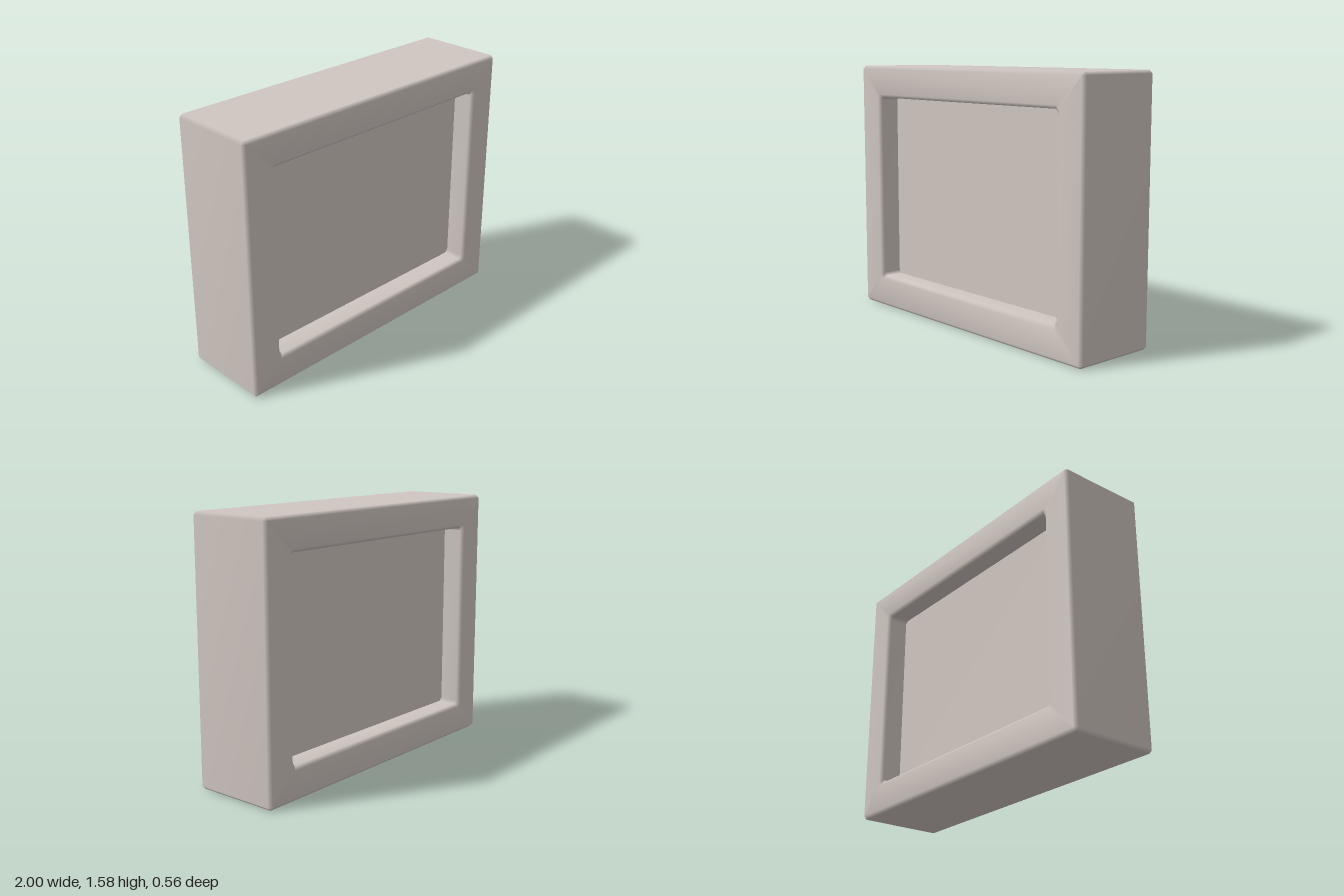
import * as THREE from 'three';

const HALF_W = 1, HALF_H = 0.7875, HALF_D = 0.2775;
const BORDER = 0.2;     // width of the frame border
const BEVEL = 0.02;
const PANEL_Z = 0.14;   // panels are recessed on both sides

// Rectangle with cut corners, counter-clockwise, inset from the outer size
function cutRect(inset, cut) {
  const w = HALF_W - inset, h = HALF_H - inset;
  return [
    [w, -h + cut], [w, h - cut], [w - cut, h], [-w + cut, h],
    [-w, h - cut], [-w, -h + cut], [-w + cut, -h], [w - cut, -h],
  ];
}

// Joins the rectangular cross-sections into one smooth-shaded band
function loft(sections) {
  const positions = [], index = [];
  for (const [inset, cut, z] of sections) {
    for (const [x, y] of cutRect(inset, cut)) positions.push(x, y, z);
  }
  for (let i = 0; i < sections.length - 1; i++) {
    for (let j = 0; j < 8; j++) {
      const a = i * 8 + j, b = i * 8 + (j + 1) % 8;
      index.push(a, a + 8, b + 8, a, b + 8, b);
    }
  }
  const geometry = new THREE.BufferGeometry();
  geometry.setAttribute('position', new THREE.Float32BufferAttribute(positions, 3));
  geometry.setIndex(index);
  geometry.computeVertexNormals();
  return geometry;
}

export function createModel() {
  const model = new THREE.Group();
  model.name = 'recessedBox';
  const stone = new THREE.MeshStandardMaterial({ color: 0xcfc6c0 });
  stone.name = 'warmGrey';

  // Bevelled frame: from the front recess, around the outside, to the back recess
  const front = [
    [BORDER, BEVEL, PANEL_Z],
    [BORDER, BEVEL, HALF_D - BEVEL],
    [BORDER - BEVEL, BEVEL, HALF_D],
    [BEVEL, 0, HALF_D],
    [0, BEVEL, HALF_D - BEVEL],
  ];
  const back = front.map(([inset, cut, z]) => [inset, cut, -z]).reverse();
  const frame = new THREE.Mesh(loft([...front, ...back]), stone);
  frame.name = 'frame';
  frame.position.y = HALF_H;
  model.add(frame);

  // Flat panels closing the two recesses
  const outline = cutRect(BORDER, BEVEL).map(([x, y]) => new THREE.Vector2(x, y));
  const panelGeometry = new THREE.ShapeGeometry(new THREE.Shape(outline));
  for (const side of [1, -1]) {
    const panel = new THREE.Mesh(panelGeometry, stone);
    panel.name = side > 0 ? 'frontPanel' : 'backPanel';
    panel.position.set(0, HALF_H, side * PANEL_Z);
    if (side < 0) panel.rotation.y = Math.PI;
    model.add(panel);
  }
  return model;
}
